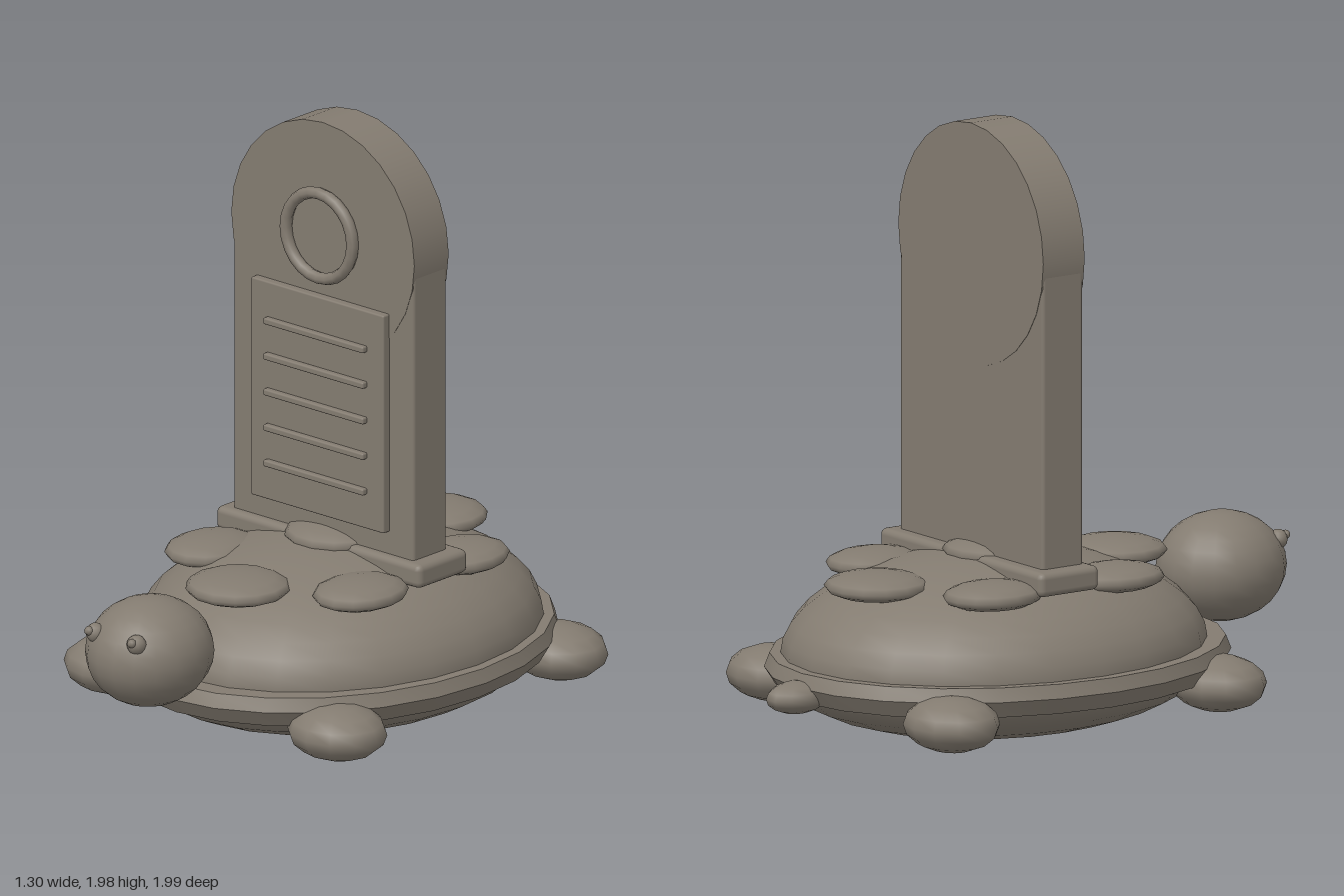
import * as THREE from 'three';
import { toCreasedNormals } from 'three/addons/utils/BufferGeometryUtils.js';
import { RoundedBoxGeometry } from 'three/addons/geometries/RoundedBoxGeometry.js';

export function createModel() {
  const model = new THREE.Group();
  model.name = 'tortoiseStele';
  const stone = new THREE.MeshStandardMaterial({ color: 0x837b70 });
  stone.name = 'stone';

  const add = (name, geometry, x = 0, y = 0, z = 0, parent = model) => {
    const mesh = new THREE.Mesh(geometry, stone);
    mesh.name = name;
    mesh.position.set(x, y, z);
    parent.add(mesh);
    return mesh;
  };
  const ellipsoid = (rx, ry, rz, w = 16, h = 10) =>
    new THREE.SphereGeometry(1, w, h).scale(rx, ry, rz);

  // Body: dome shell, bevelled rim and rounded belly
  const dome = new THREE.SphereGeometry(1, 24, 10, 0, Math.PI * 2, 0, Math.PI / 2);
  add('shell', dome.scale(0.6, 0.32, 0.72), 0, 0.275, -0.115);
  const rimProfile = [[0.5, 0.18], [0.62, 0.18], [0.65, 0.235], [0.635, 0.28], [0.55, 0.28]]
    .map(([x, y]) => new THREE.Vector2(x, y));
  const rim = new THREE.LatheGeometry(rimProfile, 24).scale(1, 1, 1.215);
  add('shellRim', toCreasedNormals(rim, 0.5), 0, 0, -0.1);
  add('belly', ellipsoid(0.59, 0.2, 0.72, 24, 14), 0, 0.21, -0.11);

  // Shell bumps: one at the centre, six around it
  const bump = ellipsoid(0.17, 0.045, 0.17, 14, 8);
  add('centreBump', bump, 0, 0.59, -0.11);
  for (const z of [0.36, -0.575]) add('middleBump', bump, 0, 0.53, z);
  const sideBump = ellipsoid(0.14, 0.045, 0.17, 14, 8);
  for (const side of [-1, 1])
    for (const z of [0.13, -0.35]) add('sideBump', sideBump, side * 0.318, 0.525, z);

  // Head with eyes
  const head = new THREE.Group();
  head.name = 'head';
  model.add(head);
  add('skull', ellipsoid(0.2, 0.178, 0.215, 18, 14), 0, 0.423, 0.78, head);
  for (const side of [-1, 1]) {
    add('eye', ellipsoid(0.032, 0.032, 0.032, 10, 8), side * 0.088, 0.503, 0.94, head);
    add('pupil', ellipsoid(0.015, 0.015, 0.015, 8, 6), side * 0.092, 0.515, 0.967, head);
  }

  // Feet and tail
  for (const side of [-1, 1])
    for (const [name, z] of [['frontFoot', 0.42], ['backFoot', -0.63]])
      add(name, ellipsoid(0.17, 0.09, 0.15, 12, 8), side * 0.48, 0.17, z);
  add('tail', ellipsoid(0.078, 0.053, 0.11, 10, 8), 0, 0.206, -0.89);

  // Upright tablet on a plinth, with a round crown
  const tablet = new THREE.Group();
  tablet.name = 'tablet';
  model.add(tablet);
  const mid = -0.124;
  add('plinth', new RoundedBoxGeometry(0.88, 0.08, 0.235, 2, 0.022), 0, 0.56, -0.132, tablet);
  add('slab', new RoundedBoxGeometry(0.775, 1.02, 0.16, 2, 0.012), 0, 1.06, mid, tablet);
  const crown = new THREE.CylinderGeometry(0.393, 0.393, 0.163, 28).rotateX(Math.PI / 2);
  add('crown', crown, 0, 1.597, mid, tablet);

  // Carving on the face: ring, raised panel and bars
  add('ring', new THREE.TorusGeometry(0.143, 0.02, 8, 24), 0, 1.612, -0.025, tablet);
  add('panel', new RoundedBoxGeometry(0.57, 0.735, 0.04, 2, 0.006), 0, 1.042, -0.035, tablet);
  const bar = new RoundedBoxGeometry(0.43, 0.022, 0.024, 2, 0.006);
  for (let i = 0; i < 5; i++) add('bar', bar, 0, 0.802 + i * 0.12, -0.006, tablet);

  return model;
}
